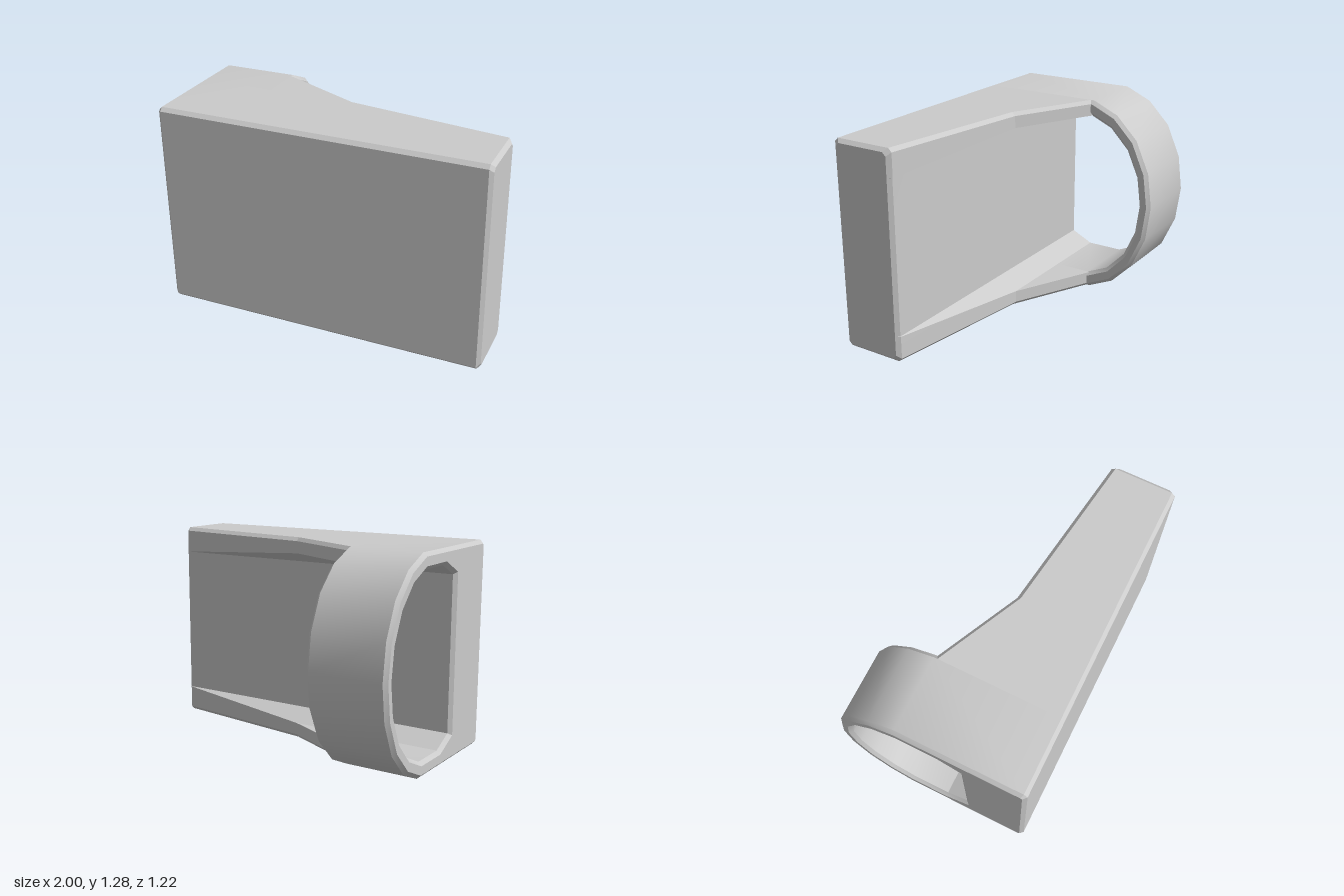
import * as THREE from 'three';
import { toCreasedNormals } from 'three/addons/utils/BufferGeometryUtils.js';

const H = 1.28, FRONT = 0.61, CH = 0.022, WALL = 0.21;
const material = new THREE.MeshStandardMaterial({ color: 0xcccccc });

// Mirror a lower half outline about mid height; points are [z, y]
const mirrored = (half) => [...half, ...half.map(([z, y]) => [z, H - y]).reverse()];
// Seen from the +x side, z runs to the left
const toVec = ([z, y]) => new THREE.Vector2(-z, y);

// Closed D-shaped band at the x = -1 end, with bevelled rims
function bandGeometry() {
  const mid = H / 2;
  const outer = mirrored([
    [FRONT, CH], [FRONT - CH, 0], [-0.18, 0], [-0.348, 0.075],
    [-0.488, 0.218], [-0.578, 0.42], [-0.607, mid - 0.0001],
  ]);
  const inner = mirrored([
    [WALL, 0.165], [0.07, 0.097], [-0.165, 0.097], [-0.31, 0.162],
    [-0.43, 0.287], [-0.505, 0.455], [-0.53, mid - 0.0001],
  ]);
  // Drop the doubled point on the mid line
  const clean = (p) => p.filter((_, i) => i !== p.length / 2).map(toVec);
  const shape = new THREE.Shape(clean(outer));
  shape.holes.push(new THREE.Path(clean(inner).reverse()));
  const geo = new THREE.ExtrudeGeometry(shape, {
    depth: 0.5 - 2 * CH, bevelEnabled: true, bevelThickness: CH,
    bevelSize: CH, bevelOffset: -CH, bevelSegments: 1,
  });
  geo.rotateY(Math.PI / 2);
  geo.translate(-1 + CH, 0, 0);
  return toCreasedNormals(geo, 0.425);
}

// Channel outline: front plate with two flanges ending at z = cut
function channelOutline(cut, inset) {
  const flange = (z) => THREE.MathUtils.mapLinear(
    THREE.MathUtils.clamp(z, 0.07, WALL), 0.07, WALL, 0.097, 0.165);
  const f = FRONT - inset, knee = Math.max(cut, 0.07), wall = Math.max(cut, WALL);
  return mirrored([
    [f, inset + CH], [f - CH, inset], [cut + CH, inset], [cut, inset + CH],
    [cut, flange(cut)], [knee, flange(knee)], [wall, flange(wall)],
  ]);
}

// Tapering channel lofted along x
function channelGeometry() {
  const slices = [
    [-0.5 - CH, -0.18, 0], [0, 0.07, 0], [1 - CH, 0.207, 0], [1, 0.21 + CH, CH],
  ].map(([x, cut, inset]) => ({ x, pts: channelOutline(cut, inset) }));
  const n = slices[0].pts.length;
  const pos = [], index = [];
  for (const { x, pts } of slices) for (const [z, y] of pts) pos.push(x, y, z);
  for (let s = 0; s < slices.length - 1; s++) {
    for (let j = 0; j < n; j++) {
      const a = s * n + j, b = s * n + (j + 1) % n;
      index.push(a, b, a + n, b, b + n, a + n);
    }
  }
  // End cap at x = 1
  const last = (slices.length - 1) * n;
  const cap = THREE.ShapeUtils.triangulateShape(slices.at(-1).pts.map(toVec), []);
  for (const tri of cap) index.push(...tri.map((i) => last + i));
  const geo = new THREE.BufferGeometry();
  geo.setAttribute('position', new THREE.Float32BufferAttribute(pos, 3));
  geo.setIndex(index);
  return toCreasedNormals(geo, 0.2);
}

export function createModel() {
  const group = new THREE.Group();
  group.name = 'bandedPlate';
  const add = (name, geo) => {
    const mesh = new THREE.Mesh(geo, material);
    mesh.name = name;
    group.add(mesh);
  };
  add('roundedBand', bandGeometry());
  add('frontPlateWithFlanges', channelGeometry());
  return group;
}
